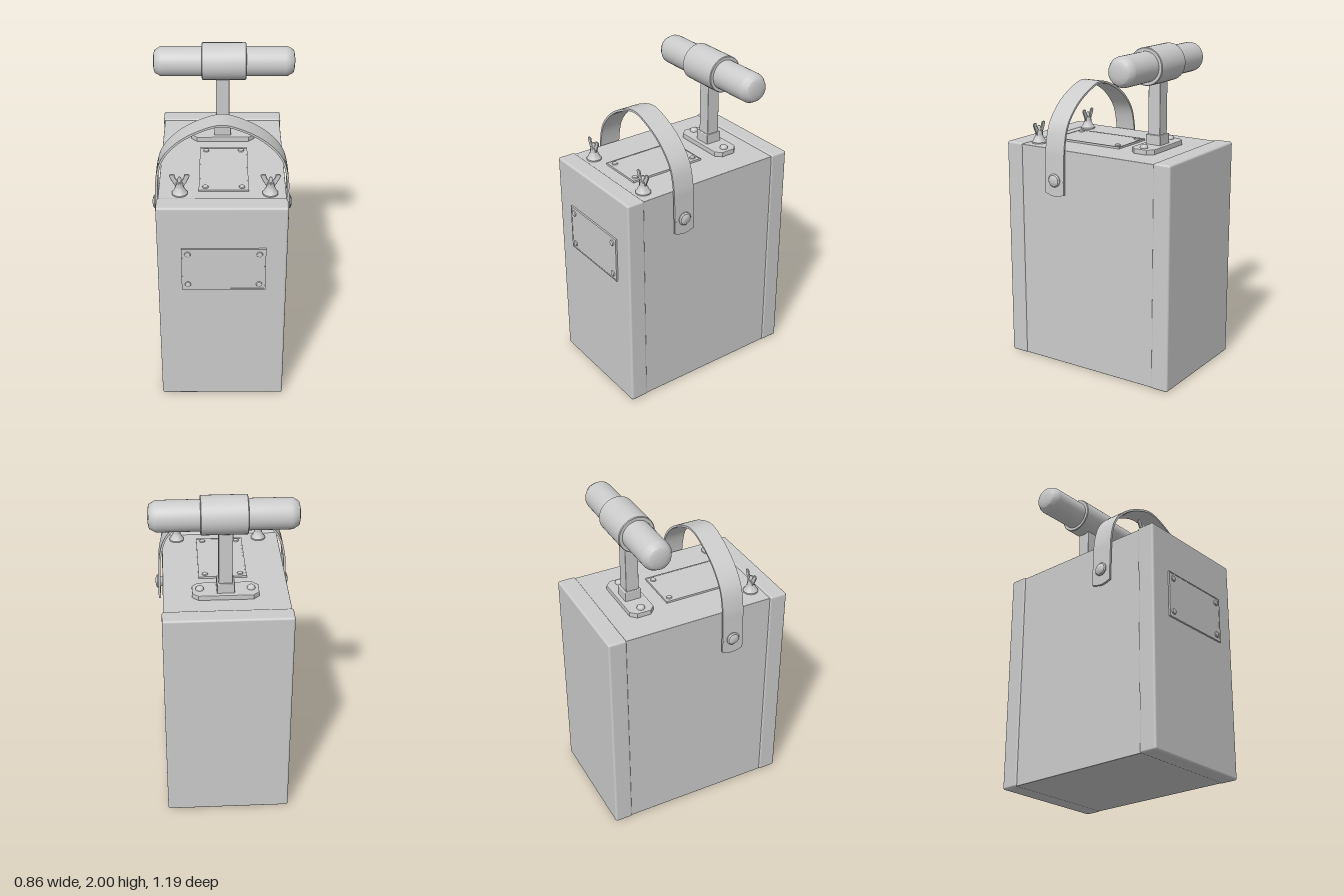
import * as THREE from 'three';
import { toCreasedNormals } from 'three/addons/utils/BufferGeometryUtils.js';
import { RoundedBoxGeometry } from 'three/addons/geometries/RoundedBoxGeometry.js';

const CX = -0.014; // middle of the case
const TOP = 1.38; // top face of the case
const grey = new THREE.MeshStandardMaterial({ color: 0xcccccc });

export function createModel() {
  const model = new THREE.Group();

  function add(name, geometry, x = 0, y = 0, z = 0, parent = model) {
    const mesh = new THREE.Mesh(geometry, grey);
    mesh.name = name;
    mesh.position.set(x, y, z);
    parent.add(mesh);
    return mesh;
  }
  // Box given by its limits, with softened edges
  function box(name, x0, x1, y0, y1, z0, z1, r = 0.004) {
    const g = new RoundedBoxGeometry(x1 - x0, y1 - y0, z1 - z0, 3, r);
    return add(name, g, (x0 + x1) / 2, (y0 + y1) / 2, (z0 + z1) / 2);
  }
  function lathe(points, segments = 32) {
    const g = new THREE.LatheGeometry(points.map(([r, y]) => new THREE.Vector2(r, y)), segments);
    return toCreasedNormals(g, 0.5);
  }
  // Domed rivet standing along +y
  const rivet = (r, h) => lathe([[r, 0], [r, h * 0.3], [r * 0.88, h * 0.62], [r * 0.6, h * 0.87], [r * 0.3, h * 0.97], [0, h]], 20);

  // Case: core with thicker end panels
  box('caseCore', -0.381, 0.354, 0.003, TOP, -0.5, 0.47, 0.003);
  box('frontPanel', -0.389, 0.361, 0, 1.388, 0.457, 0.57, 0.013);
  box('backPanel', -0.389, 0.361, 0, 1.388, -0.597, -0.484, 0.013);

  // Riveted plates, each with a thin raised rim
  function plate(name, w, h, rx, ry) {
    const group = new THREE.Group();
    group.name = name;
    add('plateSheet', new RoundedBoxGeometry(w, h, 0.014, 2, 0.003), 0, 0, 0.003, group);
    const rim = new THREE.Shape([[-1, -1], [1, -1], [1, 1], [-1, 1]].map(([x, y]) => new THREE.Vector2(x * w / 2, y * h / 2)));
    rim.holes.push(new THREE.Path([[-1, -1], [-1, 1], [1, 1], [1, -1]].map(([x, y]) => new THREE.Vector2(x * (w / 2 - 0.007), y * (h / 2 - 0.007)))));
    add('plateRim', new THREE.ExtrudeGeometry(rim, { depth: 0.012, bevelEnabled: false }), 0, 0, 0, group);
    for (const sx of [-1, 1]) for (const sy of [-1, 1]) {
      add('plateRivet', rivet(0.018, 0.013), sx * rx, sy * ry, 0.009, group).rotation.x = Math.PI / 2;
    }
    model.add(group);
    return group;
  }
  plate('frontPlate', 0.49, 0.288, 0.208, 0.106).position.set(-0.006, 0.973, 0.569);
  const topPlate = plate('topPlate', 0.288, 0.49, 0.106, 0.21);
  topPlate.position.set(-0.005, TOP, 0.134);
  topPlate.rotation.x = -Math.PI / 2;

  // Plunger base flange with cut corners
  const fw = 0.195, fd = 0.078, c = 0.035;
  const flange = new THREE.Shape([
    [-fw + c, -fd], [fw - c, -fd], [fw, -fd + c], [fw, fd - c],
    [fw - c, fd], [-fw + c, fd], [-fw, fd - c], [-fw, -fd + c],
  ].map(([x, y]) => new THREE.Vector2(x, y)));
  const PX = -0.011, PZ = -0.287;
  add('plungerFlange', new THREE.ExtrudeGeometry(flange, {
    depth: 0.022, bevelThickness: 0.005, bevelSize: 0.004, bevelOffset: -0.004, bevelSegments: 2,
  }), PX, TOP + 0.003, PZ).rotation.x = -Math.PI / 2;
  for (const s of [-1, 1]) add('flangeBolt', rivet(0.024, 0.025), PX + s * 0.15, TOP + 0.028, PZ);
  box('plungerCollar', PX - 0.052, PX + 0.052, TOP + 0.02, 1.47, PZ - 0.052, PZ + 0.052, 0.005);
  box('plungerPost', PX - 0.041, PX + 0.041, 1.4, 1.82, PZ - 0.041, PZ + 0.041, 0.004);

  // Crossbar: grip with chamfered, slightly domed ends, and a centre sleeve
  const grip = add('plungerGrip', lathe([
    [0, -0.428], [0.035, -0.426], [0.064, -0.42], [0.07, -0.416], [0.088, -0.385], [0.09, -0.37],
    [0.09, 0.37], [0.088, 0.385], [0.07, 0.416], [0.064, 0.42], [0.035, 0.426], [0, 0.428],
  ], 40), -0.002, 1.888, PZ - 0.002);
  grip.rotation.z = -Math.PI / 2;
  const sleeve = add('gripSleeve', lathe([
    [0.085, -0.134], [0.108, -0.134], [0.112, -0.13], [0.112, 0.13], [0.108, 0.134], [0.085, 0.134],
  ], 40), -0.002, 1.888, PZ - 0.002);
  sleeve.rotation.z = -Math.PI / 2;

  // Carrying strap: arched ribbon between two pointed tabs
  const SZ = 0.193, SW = 0.068, T = 0.013;
  const half = [[0.392, 1.19], [0.388, 1.3], [0.382, 1.4], [0.347, 1.525], [0.256, 1.63], [0.135, 1.703]];
  const path = new THREE.CatmullRomCurve3([
    ...half.map(([x, y]) => new THREE.Vector3(x, y, 0)),
    new THREE.Vector3(0, 1.742, 0),
    ...half.slice().reverse().map(([x, y]) => new THREE.Vector3(-x, y, 0)),
  ]);
  const outer = [], inner = [];
  for (let i = 0; i <= 64; i++) {
    const p = path.getPoint(i / 64), t = path.getTangent(i / 64);
    outer.push(new THREE.Vector2(p.x + t.y * T / 2, p.y - t.x * T / 2));
    inner.push(new THREE.Vector2(p.x - t.y * T / 2, p.y + t.x * T / 2));
  }
  const ribbon = new THREE.ExtrudeGeometry(new THREE.Shape([...outer, ...inner.reverse()]), { depth: SW * 2, bevelEnabled: false });
  add('strap', toCreasedNormals(ribbon, 0.5), CX, 0, SZ - SW);

  const tab = new THREE.Shape([[-SW, 0], [-SW, -0.08], [-0.03, -0.092], [0, -0.096], [0.03, -0.092], [SW, -0.08], [SW, 0]]
    .map(([x, y]) => new THREE.Vector2(x, y)));
  for (const s of [-1, 1]) {
    const end = add('strapTab', new THREE.ExtrudeGeometry(tab, { depth: T, bevelEnabled: false }), CX + s * 0.392 - T / 2, 1.19, SZ);
    end.rotation.y = Math.PI / 2;
    const stud = add('strapRivet', lathe([[0.025, -0.025], [0.04, 0], [0.041, 0.01], [0.034, 0.017], [0.029, 0.017], [0.022, 0.021], [0, 0.022]], 28),
      CX + s * 0.394, 1.195, SZ);
    stud.rotation.z = -s * Math.PI / 2;
  }

  // Wing nuts: conical foot, hex nut, threaded stud and two flared wings
  const wing = new THREE.Shape();
  wing.moveTo(0.004, 0.045);
  wing.lineTo(0.02, 0.05);
  wing.quadraticCurveTo(0.04, 0.075, 0.056, 0.118);
  wing.quadraticCurveTo(0.052, 0.132, 0.03, 0.124);
  wing.quadraticCurveTo(0.026, 0.092, 0.004, 0.08);
  for (const x of [-0.257, 0.262]) {
    const nut = new THREE.Group();
    nut.name = 'wingNut';
    nut.position.set(x, TOP, 0.397);
    add('nutFoot', lathe([[0.045, 0], [0.045, 0.008], [0.038, 0.016], [0.022, 0.05], [0.019, 0.078], [0, 0.08]], 24), 0, 0, 0, nut);
    add('hexNut', new THREE.CylinderGeometry(0.023, 0.026, 0.024, 6).toNonIndexed(), 0, 0.058, 0, nut);
    add('nutStud', lathe([[0.011, 0.06], [0.011, 0.1], [0.007, 0.108], [0, 0.109]], 16), 0, 0, 0, nut);
    for (const turn of [0, Math.PI]) {
      const g = new THREE.ExtrudeGeometry(wing, { depth: 0.005, bevelThickness: 0.002, bevelSize: 0.002, bevelSegments: 1, curveSegments: 8 });
      g.translate(0, 0, -0.0025);
      add('nutWing', g, 0, 0, 0, nut).rotation.y = turn;
    }
    model.add(nut);
  }
  return model;
}
